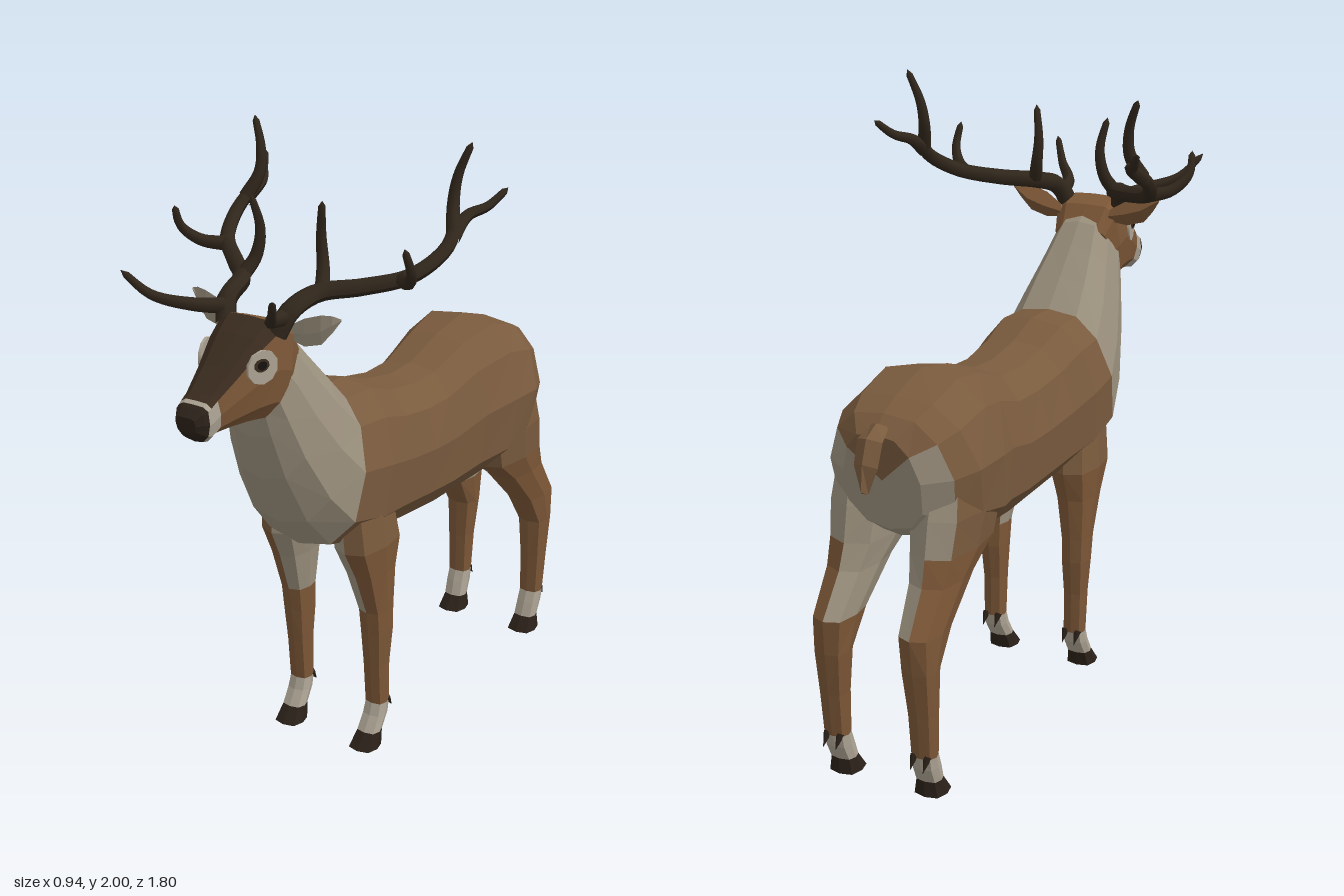
import * as THREE from 'three';

const mat = (name, color) => Object.assign(new THREE.MeshStandardMaterial({ color }), { name });
const coat = mat('brown coat', 0x7a5b3e);
const fawn = mat('fawn', 0x7c5737);
const cream = mat('grey cream', 0x9c917e);
const pale = mat('pale cream', 0xaca393);
const mask = mat('dark mask', 0x3a2b1e);
const horn = mat('antler', 0x30261b);
const hoofDark = mat('hoof', 0x2b2119);
const black = mat('eye black', 0x15100d);

const V = (x, y, z) => new THREE.Vector3(x, y, z);

// Flat-faced skin over closed rings; pick(i, j) gives the material of each panel (i = -1 or last for caps)
function loft(name, rings, pick) {
  const byMat = new Map();
  let volume = 0;
  const tri = (m, a, b, c) => {
    volume += a.dot(b.clone().cross(c));
    if (!byMat.has(m)) byMat.set(m, []);
    byMat.get(m).push([a, b, c]);
  };
  const n = rings[0].length, last = rings.length - 1;
  for (let i = 0; i < last; i++) for (let j = 0; j < n; j++) {
    const k = (j + 1) % n, A = rings[i], B = rings[i + 1], m = pick(i, j);
    tri(m, A[j], B[j], B[k]);
    tri(m, A[j], B[k], A[k]);
  }
  for (const [r, i] of [[0, -1], [last, last]]) {
    const ring = rings[r], mid = ring.reduce((s, p) => s.add(p), V(0, 0, 0)).divideScalar(n);
    for (let j = 0; j < n; j++) {
      const a = ring[j], b = ring[(j + 1) % n];
      if (r === 0) tri(pick(i, j), mid, a, b); else tri(pick(i, j), mid, b, a);
    }
  }
  // Turn the panels outward and sort them into material groups
  const pos = [], mats = [], geo = new THREE.BufferGeometry();
  for (const [m, tris] of byMat) {
    geo.addGroup(pos.length / 3, tris.length * 3, mats.length);
    mats.push(m);
    for (const [a, b, c] of tris)
      for (const p of volume > 0 ? [a, b, c] : [a, c, b]) pos.push(p.x, p.y, p.z);
  }
  geo.setAttribute('position', new THREE.Float32BufferAttribute(pos, 3));
  geo.computeVertexNormals();
  const mesh = new THREE.Mesh(geo, mats);
  mesh.name = name;
  return mesh;
}

// Symmetric ring from its top and bottom points; profile lists [share of the way down, share of half width]
const bodyProfile = [[0, 0], [0.03, 0.48], [0.18, 0.8], [0.45, 1], [0.77, 0.94], [0.95, 0.56], [1, 0]];
const headProfile = [[0, 0], [0.01, 0.62], [0.1, 0.92], [0.45, 1], [0.78, 0.86], [0.96, 0.5], [1, 0]];
function slice(profile, [tz, ty, bz, by, w]) {
  const at = ([t, f], s) => V(s * f * w, ty + (by - ty) * t, tz + (bz - tz) * t);
  return [...profile.map(p => at(p, 1)), ...profile.slice(1, 6).reverse().map(p => at(p, -1))];
}
const level = j => (j < 6 ? j : 11 - j);

// Each row: top z, top y, bottom z, bottom y, half width
const bodyRows = [
  [-0.82, 1.11, -0.75, 0.80, 0.13], [-0.77, 1.16, -0.69, 0.76, 0.21], [-0.70, 1.195, -0.58, 0.74, 0.248],
  [-0.56, 1.24, -0.46, 0.70, 0.255], [-0.40, 1.21, -0.36, 0.68, 0.215], [-0.24, 1.155, -0.22, 0.67, 0.195],
  [-0.12, 1.15, -0.08, 0.68, 0.195], [0.02, 1.175, 0.08, 0.695, 0.205], [0.14, 1.22, 0.22, 0.70, 0.218],
  [0.26, 1.22, 0.38, 0.74, 0.208], [0.34, 1.31, 0.48, 0.85, 0.185], [0.42, 1.40, 0.56, 1.02, 0.15],
  [0.48, 1.47, 0.605, 1.17, 0.122], [0.53, 1.50, 0.62, 1.25, 0.105],
];
const headRows = [
  [0.48, 1.45, 0.57, 1.23, 0.10], [0.53, 1.52, 0.59, 1.225, 0.118], [0.60, 1.543, 0.62, 1.235, 0.118],
  [0.66, 1.505, 0.68, 1.245, 0.105], [0.75, 1.43, 0.75, 1.25, 0.08], [0.825, 1.375, 0.805, 1.25, 0.062],
  [0.85, 1.36, 0.84, 1.235, 0.06], [0.862, 1.352, 0.86, 1.24, 0.058], [0.875, 1.345, 0.88, 1.255, 0.054],
  [0.90, 1.325, 0.895, 1.275, 0.036],
];

// Each row: height, back z, front z, inner x, outer x
const frontLegRows = [
  [0.88, 0.12, 0.34, 0.06, 0.20], [0.72, 0.09, 0.335, 0.07, 0.215], [0.62, 0.115, 0.285, 0.09, 0.207],
  [0.48, 0.125, 0.235, 0.108, 0.20], [0.40, 0.125, 0.225, 0.11, 0.198], [0.28, 0.138, 0.213, 0.115, 0.19],
  [0.14, 0.138, 0.202, 0.116, 0.188], [0.10, 0.148, 0.215, 0.114, 0.19], [0.05, 0.18, 0.245, 0.112, 0.19],
  [0, 0.19, 0.285, 0.102, 0.198],
];
const hindLegRows = [
  [0.98, -0.73, -0.46, 0.06, 0.22], [0.85, -0.765, -0.43, 0.04, 0.235], [0.74, -0.785, -0.465, 0.05, 0.225],
  [0.66, -0.81, -0.58, 0.07, 0.213], [0.53, -0.895, -0.71, 0.088, 0.206], [0.42, -0.886, -0.785, 0.098, 0.203],
  [0.28, -0.868, -0.79, 0.11, 0.197], [0.14, -0.855, -0.79, 0.113, 0.192], [0.10, -0.848, -0.775, 0.112, 0.192],
  [0.05, -0.825, -0.76, 0.11, 0.19], [0, -0.827, -0.725, 0.1, 0.2],
];
function leg(name, rows, side, inner) {
  const rings = rows.map(([y, z0, z1, x0, x1]) => Array.from({ length: 8 }, (_, j) => {
    const a = j * Math.PI / 4, k = j % 2 ? 1.12 : 1;
    return V(side * ((x0 + x1) / 2 + (x1 - x0) / 2 * k * Math.cos(a)), y, (z0 + z1) / 2 + (z1 - z0) / 2 * k * Math.sin(a));
  }));
  const g = new THREE.Group();
  g.name = name;
  g.add(loft(name + 'Limb', rings, (i, j) => {
    const y = rows[Math.max(i, 0)][0];
    return y < 0.06 ? hoofDark : y < 0.15 ? pale : inner(y, j) ? cream : y > 0.75 ? coat : fawn;
  }));
  // Dewclaws
  const back = rows.find(r => r[0] === 0.14)[1];
  for (const dx of [-0.022, 0.022]) {
    const claw = new THREE.Mesh(new THREE.ConeGeometry(0.014, 0.05, 5), hoofDark);
    claw.name = 'dewclaw';
    claw.position.set(side * 0.152 + dx, 0.125, back - 0.004);
    claw.rotation.x = -2.5;
    g.add(claw);
  }
  return g;
}

// Tapering smooth tube along points
function tine(name, pts, r0, r1) {
  const curve = new THREE.CatmullRomCurve3(pts), seg = pts.length * 4, sides = 7;
  const geo = new THREE.TubeGeometry(curve, seg, 1, sides), p = geo.attributes.position, v = V(0, 0, 0);
  for (let i = 0; i < p.count; i++) {
    const t = Math.floor(i / (sides + 1)) / seg, c = curve.getPointAt(t);
    const r = (r0 + (r1 - r0) * t) * (t === 1 ? 0.05 : 1);
    v.fromBufferAttribute(p, i).sub(c).multiplyScalar(r).add(c);
    p.setXYZ(i, v.x, v.y, v.z);
  }
  geo.computeVertexNormals();
  const mesh = new THREE.Mesh(geo, horn);
  mesh.name = name;
  return mesh;
}
const tines = {
  mainBeam: [0.032, 0.02, [0.09, 1.5, 0.59], [0.115, 1.565, 0.56], [0.14, 1.6, 0.46], [0.24, 1.615, 0.38], [0.35, 1.645, 0.29], [0.4, 1.71, 0.18], [0.385, 1.78, 0.1]],
  browTine: [0.025, 0.01, [0.105, 1.55, 0.575], [0.135, 1.57, 0.67], [0.2, 1.605, 0.755], [0.25, 1.685, 0.815]],
  middleTine: [0.024, 0.01, [0.15, 1.6, 0.45], [0.125, 1.66, 0.41], [0.112, 1.75, 0.4], [0.13, 1.86, 0.42]],
  outerTine: [0.024, 0.01, [0.33, 1.635, 0.31], [0.395, 1.65, 0.37], [0.435, 1.7, 0.42], [0.432, 1.775, 0.45]],
  topTine: [0.024, 0.01, [0.398, 1.74, 0.14], [0.37, 1.82, 0.1], [0.375, 1.9, 0.085], [0.412, 2.0, 0.07]],
  rearTine: [0.024, 0.01, [0.398, 1.73, 0.15], [0.395, 1.78, 0.06], [0.43, 1.8, 0.01], [0.467, 1.85, -0.045]],
};
function antler(side) {
  const g = new THREE.Group();
  g.name = side > 0 ? 'leftAntler' : 'rightAntler';
  // The right antler sweeps a little wider and lower
  const place = ([x, y, z]) => side > 0 ? V(x, y, z)
    : V(-x - 0.25 * Math.max(0, z - 0.58), y - 0.06 * Math.max(0, y - 1.5), z - 0.13 * (x - 0.1));
  for (const [name, [r0, r1, ...pts]] of Object.entries(tines)) g.add(tine(name, pts.map(place), r0, r1));
  return g;
}

function ear(side) {
  const rows = [[0.09, 1.49, 0.53, 0.02], [0.15, 1.503, 0.54, 0.042], [0.21, 1.522, 0.54, 0.044], [0.245, 1.543, 0.533, 0.025], [0.27, 1.558, 0.525, 0.003]];
  const rings = rows.map(([x, y, z, h]) =>
    [V(side * x, y + h, z), V(side * x, y, z - h * 0.7), V(side * x, y - h, z), V(side * x, y - h * 0.1, z + 0.004)]);
  return loft('ear', rings, (i, j) => (j < 2 ? fawn : cream));
}

// Painted eye: pale patch, dark lid and pupil as thin discs
function eye(side) {
  const g = new THREE.Group();
  g.name = 'eye';
  for (const [name, m, r, squash, out, fwd] of [['eyePatch', pale, 0.054, 0.95, 0, 0], ['eyelid', mask, 0.026, 0.75, 0.004, 0.006], ['pupil', black, 0.016, 0.8, 0.007, 0.006]]) {
    const disc = new THREE.Mesh(new THREE.CylinderGeometry(r, r, 0.009, 10).rotateX(Math.PI / 2), m);
    disc.name = name;
    disc.scale.y = squash;
    disc.position.set(-side * fwd, name === 'eyePatch' ? 0 : 0.008, out);
    g.add(disc);
  }
  g.position.set(side * 0.101, 1.428, 0.675);
  g.rotation.set(0, side * (Math.PI / 2 - 0.27), 0);
  return g;
}

export function createModel() {
  const deer = new THREE.Group();
  deer.name = 'deer';
  // Trunk and neck in one skin: cream neck, belly and rump patch
  deer.add(loft('body', bodyRows.map(r => slice(bodyProfile, r)), (i, j) => {
    const k = level(j);
    if (i >= 9 || k === 5) return cream;
    return i < 1 && k >= 2 ? cream : coat;
  }));
  // Head with dark mask, pale muzzle and dark nose
  deer.add(loft('head', headRows.map(r => slice(headProfile, r)), (i, j) => {
    const k = level(j);
    if (i >= 7) return hoofDark;
    if (i === 6 || (i === 5 && k >= 2)) return pale;
    if (k < 2 && i >= 2) return mask;
    return k === 5 ? cream : fawn;
  }));
  // Tail
  const tailRows = [[1.13, -0.79, 0.03], [1.10, -0.845, 0.042], [1.03, -0.87, 0.04], [0.95, -0.878, 0.012]];
  deer.add(loft('tail', tailRows.map(([y, z, w]) =>
    [V(w, y, z), V(0, y + 0.012, z - 0.02), V(-w, y, z), V(0, y - 0.008, z + 0.018)]), () => coat));
  for (const side of [1, -1]) {
    const s = side > 0 ? 'left' : 'right';
    deer.add(leg(s + 'FrontLeg', frontLegRows, side, (y, j) => y > 0.5 && j >= 2 && j <= 4));
    deer.add(leg(s + 'HindLeg', hindLegRows, side, (y, j) => (y > 0.6 && j >= 3 && j <= 5) || (y > 0.8 && j === 6)));
    deer.add(ear(side), eye(side), antler(side));
  }
  return deer;
}
